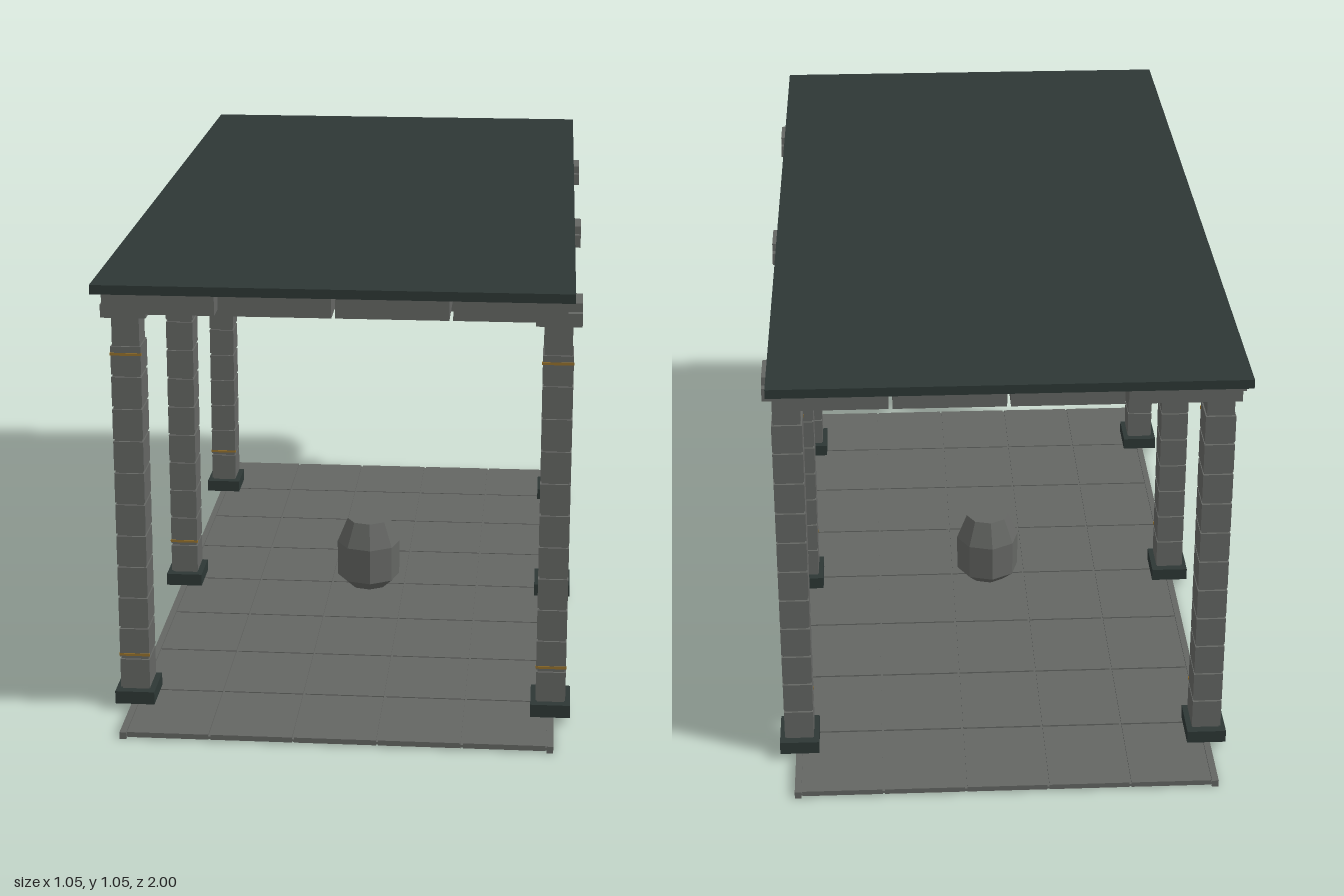
import * as THREE from 'three';

const mat = (name, color) => {
  const m = new THREE.MeshStandardMaterial({ color, flatShading: true });
  m.name = name;
  return m;
};

export function createModel() {
  const stone = mat('grey stone', 0x646663);
  const slate = mat('dark slate', 0x2d3735);
  const gold = mat('gold trim', 0x94702c);

  const model = new THREE.Group();
  model.name = 'pavilion';

  // Box spanning y0 to y1, centred on x and z
  const block = (parent, name, material, w, d, y0, y1, x = 0, z = 0) => {
    const mesh = new THREE.Mesh(new THREE.BoxGeometry(w, y1 - y0, d), material);
    mesh.name = name;
    mesh.position.set(x, (y0 + y1) / 2, z);
    parent.add(mesh);
    return mesh;
  };

  // Grid of slabs separated by narrow joints
  const tileGrid = (name, nx, nz, width, depth, gap, y0, y1) => {
    const group = new THREE.Group();
    group.name = name;
    const px = width / nx, pz = depth / nz;
    for (let i = 0; i < nx; i++) {
      for (let j = 0; j < nz; j++) {
        block(group, 'tile', stone, px - gap, pz - gap, y0, y1,
          (i + 0.5) * px - width / 2, (j + 0.5) * pz - depth / 2);
      }
    }
    model.add(group);
  };

  // Floor: paving over a thin bed, with long kerbs
  tileGrid('floorTiles', 5, 8, 0.934, 1.9, 0.005, 0.004, 0.016);
  block(model, 'floorBed', stone, 0.934, 1.895, 0.006, 0.012);
  for (const s of [-1, 1]) block(model, 'kerb', stone, 0.015, 1.9, 0, 0.016, s * 0.474);

  // Roof slab and ceiling blocks
  block(model, 'roof', slate, 1.01, 2, 1.034, 1.054);
  tileGrid('ceilingBlocks', 4, 5, 0.99, 1.9, 0.008, 0.978, 1.034);

  // One column, standing on the floor
  const column = (x, z) => {
    const c = new THREE.Group();
    c.name = 'column';
    c.position.set(x, 0, z);
    block(c, 'columnBase', slate, 0.09, 0.112, 0.016, 0.046);
    block(c, 'columnCore', stone, 0.061, 0.072, 0.046, 0.935);
    const pitch = 0.0745;
    for (let i = 0; i < 11; i++) {
      const y = 0.0515 + i * pitch;
      block(c, 'columnBlock', stone, 0.067, 0.083, y, Math.min(y + 0.068, 0.86));
    }
    // Gilded strips on the front face
    for (const y of [0.132, 0.843]) {
      block(c, 'goldStrip', gold, 0.07, 0.006, y - 0.003, y + 0.003, 0, 0.0405);
    }
    block(c, 'capital', stone, 0.1, 0.12, 0.93, 0.96);
    model.add(c);
  };

  // Column pairs joined by cross beams
  for (const z of [-0.741, 0, 0.741]) {
    for (const x of [-0.473, 0.473]) column(x, z);
    block(model, 'crossBeam', stone, 1.046, 0.088, 0.956, 0.979, 0, z);
  }

  // Faceted urn in the middle of the floor
  const profile = [[0, 0.016], [0.049, 0.016], [0.079, 0.042], [0.08, 0.132], [0.054, 0.195], [0, 0.195]]
    .map(([r, y]) => new THREE.Vector2(r, y));
  const urn = new THREE.Mesh(new THREE.LatheGeometry(profile, 8), stone);
  urn.name = 'urn';
  urn.rotation.y = 0.12;
  model.add(urn);

  return model;
}
